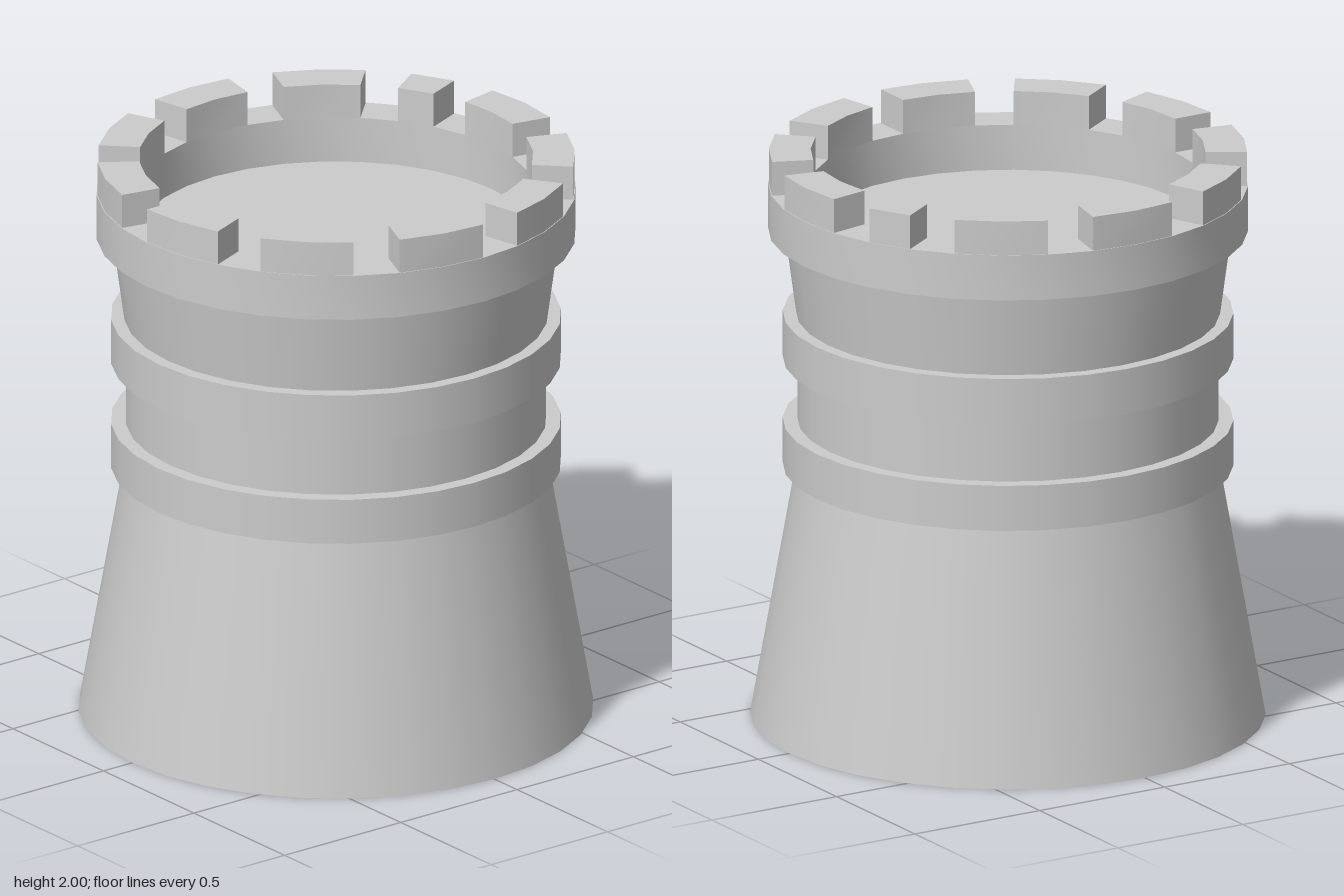
import * as THREE from 'three';
import { toCreasedNormals } from 'three/addons/utils/BufferGeometryUtils.js';

const SIDES = 32;
const STEP = (Math.PI * 2) / SIDES;
const CREASE = 0.6;

export function createModel() {
  const model = new THREE.Group();
  model.name = 'castleTower';
  const stone = new THREE.MeshStandardMaterial({ color: 0xcccccc });
  const openStone = new THREE.MeshStandardMaterial({ color: 0xcccccc, side: THREE.DoubleSide });

  const add = (name, geometry, material = stone, parent = model) => {
    const mesh = new THREE.Mesh(geometry, material);
    mesh.name = name;
    parent.add(mesh);
    return mesh;
  };

  // Round tier between two heights
  const tier = (name, y0, y1, r0, r1, open = false) => {
    const geometry = new THREE.CylinderGeometry(r1, r0, y1 - y0, SIDES, 1, open);
    geometry.translate(0, (y0 + y1) / 2, 0);
    return add(name, geometry, open ? openStone : stone);
  };

  // Flared base, hollow and open underneath
  tier('flaredBase', 0, 0.885, 0.875, 0.72, true);
  tier('lowerBand', 0.885, 1.045, 0.765, 0.765);
  tier('waist', 1.045, 1.265, 0.715, 0.715);
  tier('upperBand', 1.265, 1.425, 0.765, 0.765);
  // The top cap of this tier is the platform floor
  tier('flaredTop', 1.425, 1.72, 0.72, 0.76);

  // Parapet ring around the sunken floor
  const inner = 0.67, outer = 0.815;
  const section = [[inner, 1.72], [outer, 1.72], [outer, 1.88], [inner, 1.88], [inner, 1.72]]
    .map(([r, y]) => new THREE.Vector2(r, y));
  add('parapet', toCreasedNormals(new THREE.LatheGeometry(section, SIDES), CREASE));

  // Box bent around the tower axis, spanning whole wall segments
  const merlonGeometry = (start, count) => {
    const geometry = new THREE.BoxGeometry(1, 0.12, 1, count, 1, 1);
    const p = geometry.attributes.position;
    for (let i = 0; i < p.count; i++) {
      const angle = Math.PI - (start + count / 2 - p.getX(i) * count) * STEP;
      const radius = p.getZ(i) > 0 ? 0.812 : inner;
      p.setXYZ(i, radius * Math.sin(angle), p.getY(i) + 1.94, radius * Math.cos(angle));
    }
    return toCreasedNormals(geometry, CREASE);
  };

  // Eleven merlons: two segments wide with one-segment gaps, one is narrow
  const merlons = new THREE.Group();
  merlons.name = 'merlons';
  model.add(merlons);
  let start = -1;
  for (let i = 0; i < 11; i++) {
    const count = i === 2 ? 1 : 2;
    add(`merlon${i + 1}`, merlonGeometry(start, count), stone, merlons);
    start += count + 1;
  }
  return model;
}
